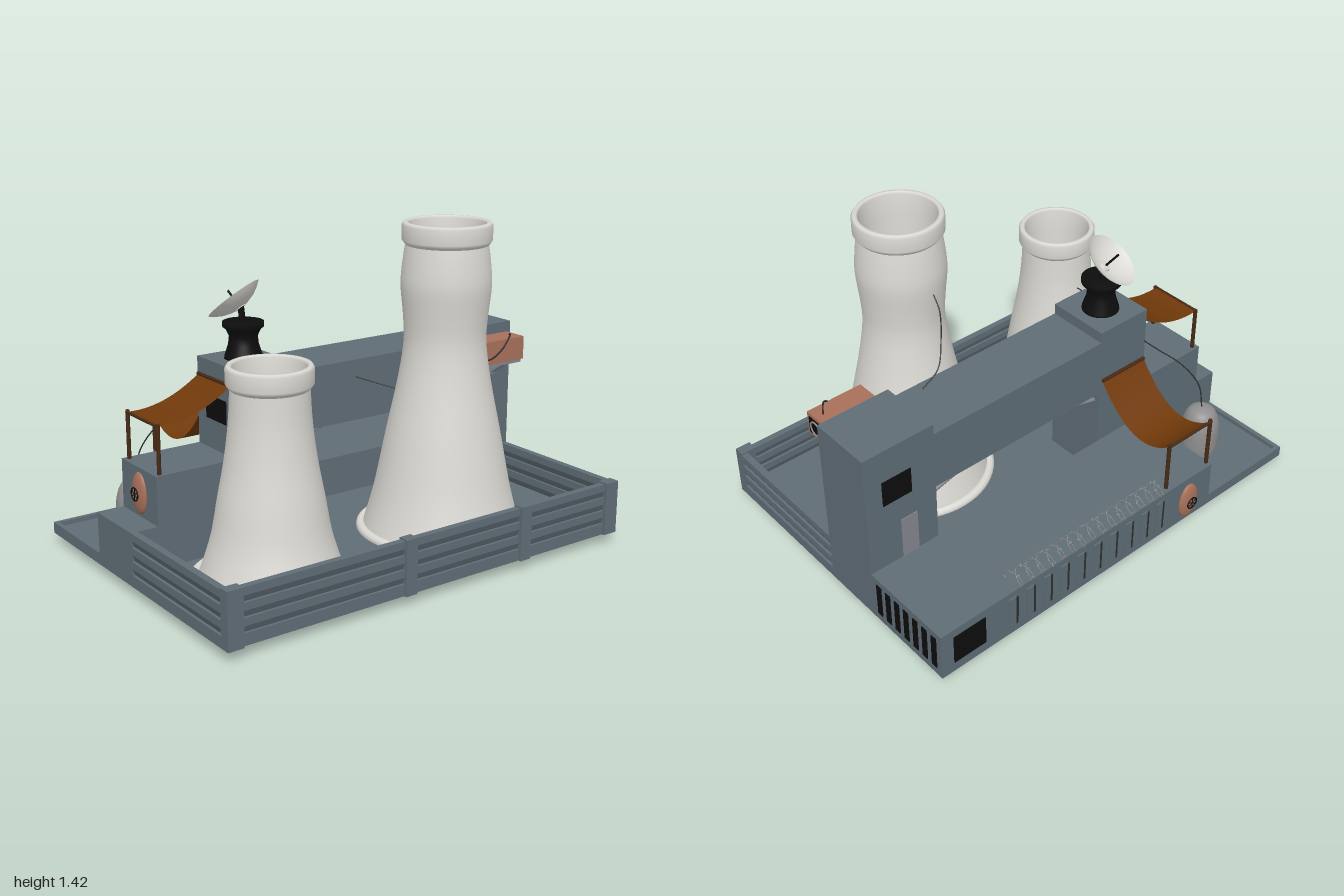
import * as THREE from 'three';

export function createModel() {
  const mat = (name, color, extra = {}) => {
    const m = new THREE.MeshStandardMaterial({ color, ...extra });
    m.name = name;
    return m;
  };
  const slate = mat('slate', 0x5f6d76);
  const plaster = mat('pale plaster', 0xdad9d3, { side: THREE.DoubleSide });
  const cloth = mat('brown cloth', 0x70390a, { side: THREE.DoubleSide });
  const wood = mat('dark wood', 0x472a15);
  const copper = mat('copper', 0xa9705a);
  const black = mat('black', 0x0d0d0d);
  const steel = mat('steel grey', 0x8f8f8f);
  const cable = mat('cable', 0x2e2e30);
  const strutGrey = mat('strut grey', 0x84858f);

  const root = new THREE.Group();
  root.name = 'powerPlant';
  const V = (x, y, z) => new THREE.Vector3(x, y, z);
  const add = (name, geo, m, x = 0, y = 0, z = 0, parent = root) => {
    const mesh = new THREE.Mesh(geo, m);
    mesh.name = name;
    mesh.position.set(x, y, z);
    parent.add(mesh);
    return mesh;
  };
  const group = (name, x = 0, y = 0, z = 0, parent = root) => {
    const g = new THREE.Group();
    g.name = name;
    g.position.set(x, y, z);
    parent.add(g);
    return g;
  };
  // Box given by its minimum and maximum corners
  const box = (name, m, x0, x1, y0, y1, z0, z1, parent = root) =>
    add(name, new THREE.BoxGeometry(x1 - x0, y1 - y0, z1 - z0), m,
      (x0 + x1) / 2, (y0 + y1) / 2, (z0 + z1) / 2, parent);
  // Straight round rod between two points
  const rod = (name, m, a, b, r, parent = root, sides = 8) => {
    const d = b.clone().sub(a);
    const mesh = add(name, new THREE.CylinderGeometry(r, r, d.length(), sides), m, 0, 0, 0, parent);
    mesh.position.copy(a).add(b).multiplyScalar(0.5);
    mesh.quaternion.setFromUnitVectors(V(0, 1, 0), d.normalize());
    return mesh;
  };
  const wire = (name, pts, r = 0.003) =>
    add(name, new THREE.TubeGeometry(new THREE.CatmullRomCurve3(pts.map(p => V(...p))), 32, r, 6), cable);
  const lathe = (pts, seg = 48) => new THREE.LatheGeometry(pts.map(p => new THREE.Vector2(...p)), seg);

  // Ground slab with a rimmed pit at the front
  box('yardSlab', slate, -0.27, 0.72, 0.05, 0.10, -1, 1);
  box('pitFloor', slate, -0.71, -0.27, 0.05, 0.08, 0.51, 1);
  box('pitRimFront', slate, -0.71, -0.27, 0.05, 0.10, 0.98, 1);
  box('pitRimSide', slate, -0.71, -0.69, 0.05, 0.10, 0.51, 0.98);

  // Buildings
  box('lowBuilding', slate, -0.71, -0.27, 0.05, 0.28, -1, 0.51);
  box('frontTower', slate, -0.27, 0.02, 0.10, 0.87, 0.24, 0.51);
  box('frontBlock', slate, -0.27, 0.02, 0.10, 0.49, 0.51, 0.88);
  box('frontStep', slate, -0.27, 0.02, 0.10, 0.28, 0.88, 1);
  box('rearTower', slate, -0.27, 0.02, 0.10, 0.87, -1, -0.66);
  box('bridge', slate, -0.27, 0.02, 0.55, 0.82, -0.66, 0.24);
  for (const x of [-0.24, -0.01]) {
    rod('bridgeStrut', strutGrey, V(x, 0.50, 0.24), V(x, 0.55, 0.05), 0.01);
    rod('bridgeStrut', strutGrey, V(x, 0.50, -0.66), V(x, 0.55, -0.47), 0.01);
  }

  // Windows, door, louvres and wall ribs
  box('frontWindow', black, -0.20, -0.045, 0.62, 0.72, 0.508, 0.514);
  box('sideWindow', black, -0.274, -0.268, 0.60, 0.72, -0.92, -0.78);
  box('sideDoor', strutGrey, -0.274, -0.268, 0.28, 0.48, -0.84, -0.76);
  box('cornerWindow', black, -0.714, -0.708, 0.10, 0.24, -0.94, -0.78);
  for (let i = 0; i < 7; i++) {
    const x = -0.68 + i * 0.058;
    box('louvre', black, x, x + 0.03, 0.09, 0.25, -1.004, -0.998);
  }
  for (let i = 0; i < 10; i++) {
    const z = -0.66 + i * 0.092;
    box('wallRib', slate, -0.717, -0.70, 0.08, 0.25, z, z + 0.035);
    box('wallSlot', cable, -0.713, -0.705, 0.09, 0.24, z + 0.035, z + 0.05);
  }

  // Boarded fence: a sawtooth section pushed along each side
  const pitch = 0.06, side = [];
  for (let i = 0; i < 4; i++) {
    const y = 0.28 - i * pitch;
    side.push([0.015, y], [0.015, y - 0.032]);
    if (i < 3) side.push([0.003, y - pitch]);
  }
  side[side.length - 1][1] = 0.05;
  const outline = [...side, ...side.map(([x, y]) => [-x, y]).reverse()];
  const fenceShape = new THREE.Shape(outline.map(p => new THREE.Vector2(...p)));
  const fence = len => new THREE.ExtrudeGeometry(fenceShape, { depth: len, bevelEnabled: false });
  add('sideFence', fence(1.98), slate, 0.705, 0, -0.99);
  for (const z of [-0.985, 0.985]) add('endFence', fence(0.68), slate, 0.02, 0, z).rotation.y = Math.PI / 2;
  for (const [z0, z1] of [[-1, -0.93], [-0.485, -0.43], [0.125, 0.18], [0.93, 1]])
    box('fencePost', slate, 0.685, 0.733, 0.05, 0.287, z0, z1);

  // Cooling towers: shell with rolled rim, base ring and fan
  function coolingTower(name, x, z, profile, rimR, neckR, rimY, top, ringR, blades) {
    const g = group(name, x, 0, z);
    const curve = new THREE.SplineCurve(profile.map(p => new THREE.Vector2(...p)));
    add('shell', new THREE.LatheGeometry(curve.getPoints(30), 64), plaster, 0, 0, 0, g);
    const inner = rimR - 0.028;
    add('rim', lathe([[neckR - 0.005, rimY - 0.015], [rimR - 0.008, rimY], [rimR, rimY + 0.012], [rimR, top - 0.012],
      [rimR - 0.008, top], [inner + 0.006, top], [inner, top - 0.01], [neckR - 0.02, rimY - 0.02],
      [neckR - 0.025, rimY - 0.25]], 64), plaster, 0, 0, 0, g);
    add('baseRing', new THREE.TorusGeometry(ringR - 0.022, 0.022, 12, 64).rotateX(Math.PI / 2), plaster, 0, 0.105, 0, g);
    const fanY = rimY - 0.18;
    add('ductFloor', new THREE.CylinderGeometry(neckR - 0.02, neckR - 0.02, 0.01, 48), steel, 0, fanY - 0.06, 0, g);
    add('fanHub', new THREE.CylinderGeometry(0.055, 0.06, 0.04, 32), plaster, 0, fanY, 0, g);
    for (let i = 0; i < blades; i++) {
      const pivot = group('fanBlade', 0, fanY, 0, g);
      pivot.rotation.y = (i / blades) * Math.PI * 2;
      add('blade', new THREE.BoxGeometry(0.075, 0.006, 0.055), plaster, 0.085, 0, 0, pivot).rotation.x = 0.4;
    }
  }
  coolingTower('tallCoolingTower', 0.314, -0.35,
    [[0.345, 0.10], [0.295, 0.28], [0.245, 0.53], [0.197, 0.76], [0.174, 0.92], [0.177, 1.03], [0.188, 1.14],
      [0.189, 1.2], [0.181, 1.28], [0.172, 1.34]], 0.188, 0.172, 1.345, 1.43, 0.37, 5);
  coolingTower('shortCoolingTower', 0.365, 0.565,
    [[0.30, 0.10], [0.242, 0.28], [0.21, 0.45], [0.182, 0.6], [0.163, 0.75], [0.155, 0.89]],
    0.172, 0.155, 0.892, 0.975, 0.333, 4);

  // Bullet-shaped tank poking through the pit floor
  const tank = new THREE.SplineCurve([[0, 0.005], [0.035, 0.015], [0.068, 0.045], [0.084, 0.10], [0.088, 0.17],
    [0.084, 0.24], [0.065, 0.295], [0.035, 0.318], [0, 0.325]].map(p => new THREE.Vector2(...p)));
  const tankPts = tank.getPoints(28);
  tankPts.forEach(p => { p.x = Math.max(0, p.x); });
  add('tank', new THREE.LatheGeometry(tankPts, 40), steel, -0.445, 0, 0.73);

  // Cloth awnings hung from a wall bar to two posts; local +z points away from the wall
  function awning(name, x, z, turn, width, len, yWall, yEnd, sag, yFloor) {
    const g = group(name, x, 0, z);
    g.rotation.y = turn;
    const sheet = new THREE.PlaneGeometry(width, 1, 1, 14);
    const p = sheet.attributes.position;
    for (let i = 0; i < p.count; i++) {
      const t = 0.5 - p.getY(i);
      p.setXYZ(i, p.getX(i), yWall + (yEnd - yWall) * t - 4 * sag * t * (1 - t), len * t);
    }
    sheet.computeVertexNormals();
    add('cloth', sheet, cloth, 0, 0, 0, g);
    const w = width / 2;
    rod('wallBar', wood, V(-w, yWall, 0.005), V(w, yWall, 0.005), 0.008, g);
    rod('endBar', wood, V(-w, yEnd, len), V(w, yEnd, len), 0.006, g);
    for (const s of [-w, w]) rod('post', wood, V(s, yFloor, len - 0.005), V(s, yEnd + 0.008, len - 0.005), 0.009, g);
  }
  awning('frontAwning', -0.125, 0.515, 0, 0.25, 0.345, 0.80, 0.69, 0.035, 0.49);
  awning('sideAwning', -0.275, 0.375, -Math.PI / 2, 0.25, 0.415, 0.62, 0.512, 0.12, 0.28);

  // Copper hatches with black hand wheels
  function hatch(name, x, y, z, turn) {
    const g = group(name, x, y, z);
    g.rotation.y = turn;
    add('dome', new THREE.SphereGeometry(1, 32, 16), copper, 0, 0, 0, g).scale.set(0.055, 0.09, 0.022);
    add('wheel', new THREE.TorusGeometry(0.027, 0.003, 8, 24), black, 0, 0, 0.026, g);
    for (let i = 0; i < 3; i++) {
      const a = Math.PI / 2 + i * Math.PI / 3, c = Math.cos(a) * 0.027, s = Math.sin(a) * 0.027;
      rod('spoke', black, V(-c, -s, 0.026), V(c, s, 0.026), 0.002, g);
    }
  }
  hatch('frontHatch', -0.12, 0.382, 0.88, 0);
  hatch('sideHatch', -0.712, 0.155, 0.37, -Math.PI / 2);

  // Radar dish on a flared pedestal
  add('dishPedestal', lathe([[0, 0.865], [0.082, 0.865], [0.08, 0.88], [0.064, 0.93], [0.06, 0.965], [0.074, 0.995],
    [0.087, 1.005], [0.087, 1.025], [0, 1.025]], 40), black, -0.127, 0, 0.37);
  const dish = group('dish', -0.135, 1.08, 0.375);
  dish.quaternion.setFromUnitVectors(V(0, 1, 0), V(-0.53, 0.77, 0.35).normalize());
  add('bowl', lathe([[0.001, 0], [0.04, 0.004], [0.08, 0.017], [0.11, 0.035], [0.128, 0.05]], 48), plaster, 0, 0, 0, dish);
  add('dishHub', new THREE.CylinderGeometry(0.022, 0.026, 0.012, 24), plaster, 0, 0.006, 0, dish);
  rod('feed', black, V(0, 0.005, 0), V(0, 0.09, 0), 0.005, dish);
  rod('dishStem', black, V(-0.13, 1.02, 0.37), V(-0.135, 1.085, 0.375), 0.014);

  // Copper cooling unit on wall brackets
  box('coolingUnit', copper, 0.045, 0.16, 0.725, 0.83, -0.955, -0.695);
  box('unitTray', strutGrey, 0.02, 0.16, 0.712, 0.725, -0.94, -0.71);
  box('unitGrille', black, 0.06, 0.145, 0.74, 0.815, -0.959, -0.953);
  add('grilleRing', new THREE.TorusGeometry(0.03, 0.004, 8, 24), steel, 0.1025, 0.7775, -0.96);
  for (const z of [-0.89, -0.75]) {
    box('bracketPlate', strutGrey, 0.02, 0.032, 0.635, 0.712, z - 0.014, z + 0.014);
    rod('bracketArm', strutGrey, V(0.025, 0.645, z), V(0.13, 0.715, z), 0.009);
  }
  wire('unitCable', [[0.10, 0.83, -0.92], [0.15, 0.845, -0.88], [0.166, 0.79, -0.82], [0.166, 0.75, -0.74],
    [0.13, 0.76, -0.68], [0.08, 0.74, -0.67], [0.02, 0.75, -0.68]], 0.004);

  // Coil of barbed wire along the roof edge
  const turns = 15, coil = [];
  for (let i = 0; i <= turns * 12; i++) {
    const a = (i / 12) * Math.PI * 2;
    coil.push(V(-0.69 + Math.cos(a) * 0.038, 0.318 + Math.sin(a) * 0.038, -0.63 + 0.84 * i / (turns * 12)));
  }
  add('barbedCoil', new THREE.TubeGeometry(new THREE.CatmullRomCurve3(coil), turns * 20, 0.002, 4), steel);
  const barb = new THREE.BoxGeometry(0.016, 0.0025, 0.0025);
  for (let i = 0; i < coil.length; i += 2) {
    const b = add('barb', barb, steel, coil[i].x, coil[i].y, coil[i].z);
    b.rotation.set(i, i * 0.7, i * 1.3);
  }

  // Loose cables
  wire('tankCable', [[-0.445, 0.32, 0.73], [-0.43, 0.45, 0.71], [-0.38, 0.57, 0.64], [-0.31, 0.66, 0.55], [-0.265, 0.71, 0.5]]);
  wire('tallTowerCable', [[-0.02, 0.82, -0.52], [-0.01, 0.87, -0.43], [0.04, 0.95, -0.37], [0.08, 1.07, -0.34], [0.13, 1.12, -0.33]]);
  wire('lowerTowerCable', [[0.015, 0.745, -0.1], [0.07, 0.715, -0.18], [0.14, 0.69, -0.25]]);
  wire('shortTowerCable', [[0.015, 0.79, 0.42], [0.08, 0.755, 0.49], [0.15, 0.74, 0.53], [0.21, 0.72, 0.55]]);

  return root;
}
